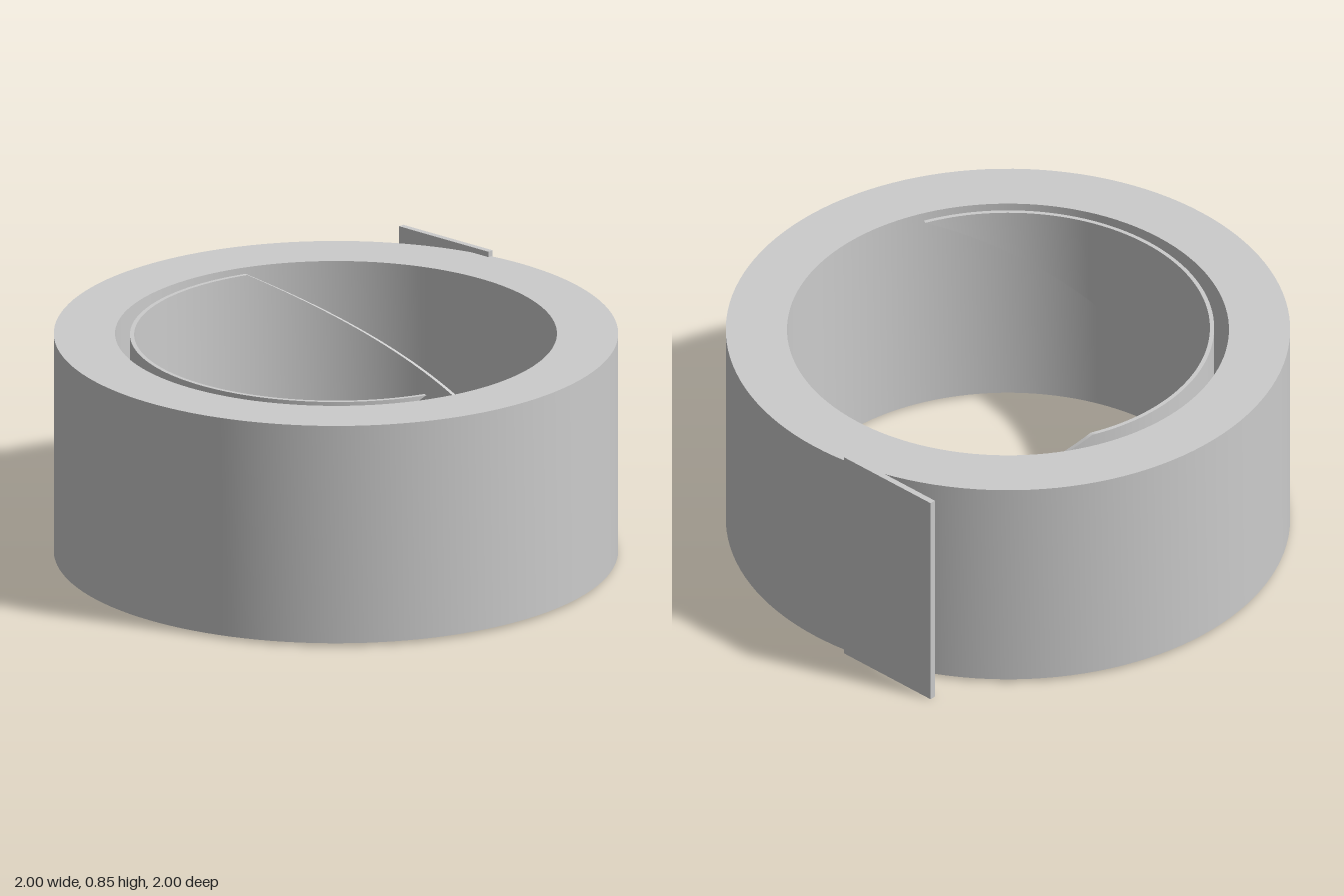
import * as THREE from 'three';
import { toCreasedNormals } from 'three/addons/utils/BufferGeometryUtils.js';

const BASE = 0.01;
const TOP = 0.825;

// Thick ring: closed rectangular profile, turned
function ringGeometry(outer, inner) {
  const profile = [
    [inner, BASE], [outer, BASE], [outer, TOP], [inner, TOP], [inner, BASE],
  ].map(([r, y]) => new THREE.Vector2(r, y));
  return toCreasedNormals(new THREE.LatheGeometry(profile, 128), 0.6);
}

// Thin curved strip, a sheared parallelogram wrapped around a circle:
// its top edge falls to the base at one end, its bottom edge rises at the other
function ribbonGeometry(outer, inner) {
  const start = 180, end = -116, steps = 148;
  const slope = (TOP - BASE) / 116;
  const positions = [];
  const indices = [];
  for (let i = 0; i <= steps; i++) {
    const deg = start + ((end - start) * i) / steps;
    const a = THREE.MathUtils.degToRad(deg);
    const top = TOP + Math.min(0, deg) * slope;
    const bottom = BASE + Math.max(0, deg - 64) * slope;
    for (const [r, y] of [[outer, bottom], [inner, bottom], [inner, top], [outer, top]]) {
      positions.push(-r * Math.sin(a), y, -r * Math.cos(a));
    }
    if (i === steps) continue;
    for (let j = 0; j < 4; j++) {
      const p = i * 4 + j;
      const q = i * 4 + ((j + 1) % 4);
      indices.push(p, p + 4, q, p + 4, q + 4, q);
    }
  }
  const geometry = new THREE.BufferGeometry();
  geometry.setAttribute('position', new THREE.Float32BufferAttribute(positions, 3));
  geometry.setIndex(indices);
  geometry.computeVertexNormals();
  return toCreasedNormals(geometry, 0.6);
}

export function createModel() {
  const group = new THREE.Group();
  group.name = 'roll';
  const grey = new THREE.MeshStandardMaterial({ color: 0xcccccc });
  grey.name = 'light grey';

  const add = (name, geometry) => {
    const mesh = new THREE.Mesh(geometry, grey);
    mesh.name = name;
    group.add(mesh);
    return mesh;
  };

  // Wound body
  add('ring', ringGeometry(1, 0.783));

  // Loose strip inside the hole
  add('innerRibbon', ribbonGeometry(0.73, 0.715)).position.set(-0.005, 0, 0.01);

  // Free end standing off the outside
  const flap = add('flap', new THREE.BoxGeometry(0.42, 0.845, 0.022));
  flap.position.set(0.776, 0.4225, -0.702);
  flap.rotation.y = -1.172;

  return group;
}
